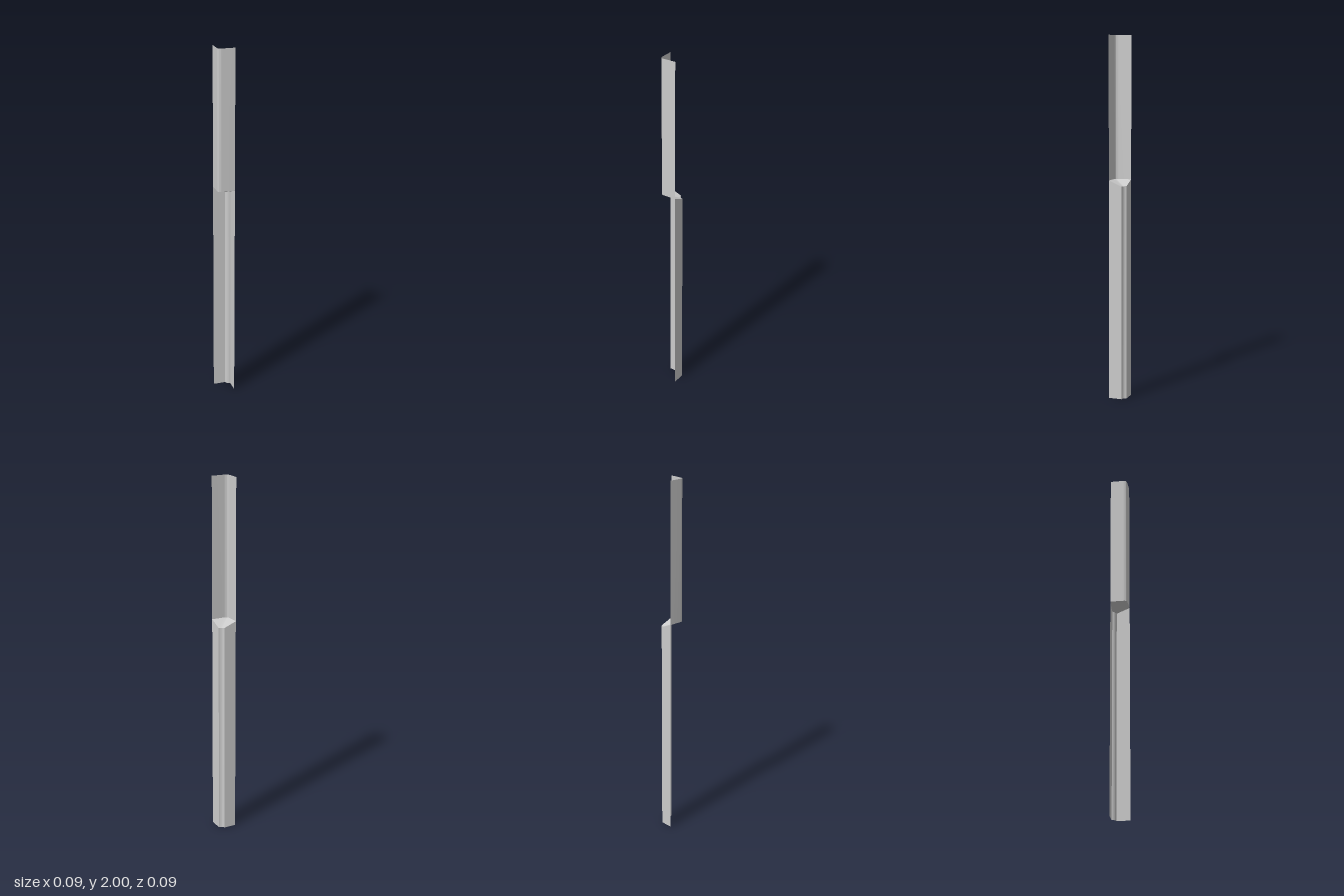
import * as THREE from 'three';
import { toCreasedNormals } from 'three/addons/utils/BufferGeometryUtils.js';

const R = 0.047;      // half width of the section
const JOIN = 1.22;    // height where the two sections meet
const SLOPE = 0.41;   // fall of the joining cap

const bend = (a, c, b) => new THREE.QuadraticBezierCurve(
  new THREE.Vector2(...a), new THREE.Vector2(...c), new THREE.Vector2(...b)).getPoints(8);

// An angle section in plan (x, z): leg, bend, leg
const section = (a, c, b) => [new THREE.Vector2(-R, -R), ...bend(a, c, b), new THREE.Vector2(R, R)];
const upper = section([-0.0465, 0.026], [-0.0465, 0.0455], [-0.027, 0.0455]);
const lower = section([0.021, -R], [0.0265, -0.028], [R, -0.026]);

const raise = (profile, height) => profile.map(
  p => new THREE.Vector3(p.x, typeof height === 'function' ? height(p) : height, p.y));

// Thin sheet between two matching rows of points
function sheet(name, from, to, material) {
  const points = [];
  const tri = (...t) => {
    if (new THREE.Triangle(...t).getArea() > 1e-9) points.push(...t);
  };
  for (let i = 0; i < from.length - 1; i++) {
    tri(from[i], from[i + 1], to[i + 1]);
    tri(from[i], to[i + 1], to[i]);
  }
  const geometry = toCreasedNormals(new THREE.BufferGeometry().setFromPoints(points), 0.6);
  const mesh = new THREE.Mesh(geometry, material);
  mesh.name = name;
  return mesh;
}

export function createModel() {
  const group = new THREE.Group();
  group.name = 'angleStrip';
  const material = new THREE.MeshStandardMaterial({ color: 0xcccccc, side: THREE.DoubleSide });

  // The cap falls away from both legs of the upper section
  const roof = p => JOIN - SLOPE * Math.min(p.x + R, R - p.y);
  const upperFoot = raise(upper, JOIN);
  const lowerHead = raise(lower, roof);

  group.add(
    sheet('upperAngle', upperFoot, raise(upper, 2), material),
    sheet('joiningCap', upperFoot, lowerHead, material),
    sheet('lowerNotchedAngle', lowerHead, raise(lower, 0), material),
  );
  return group;
}
